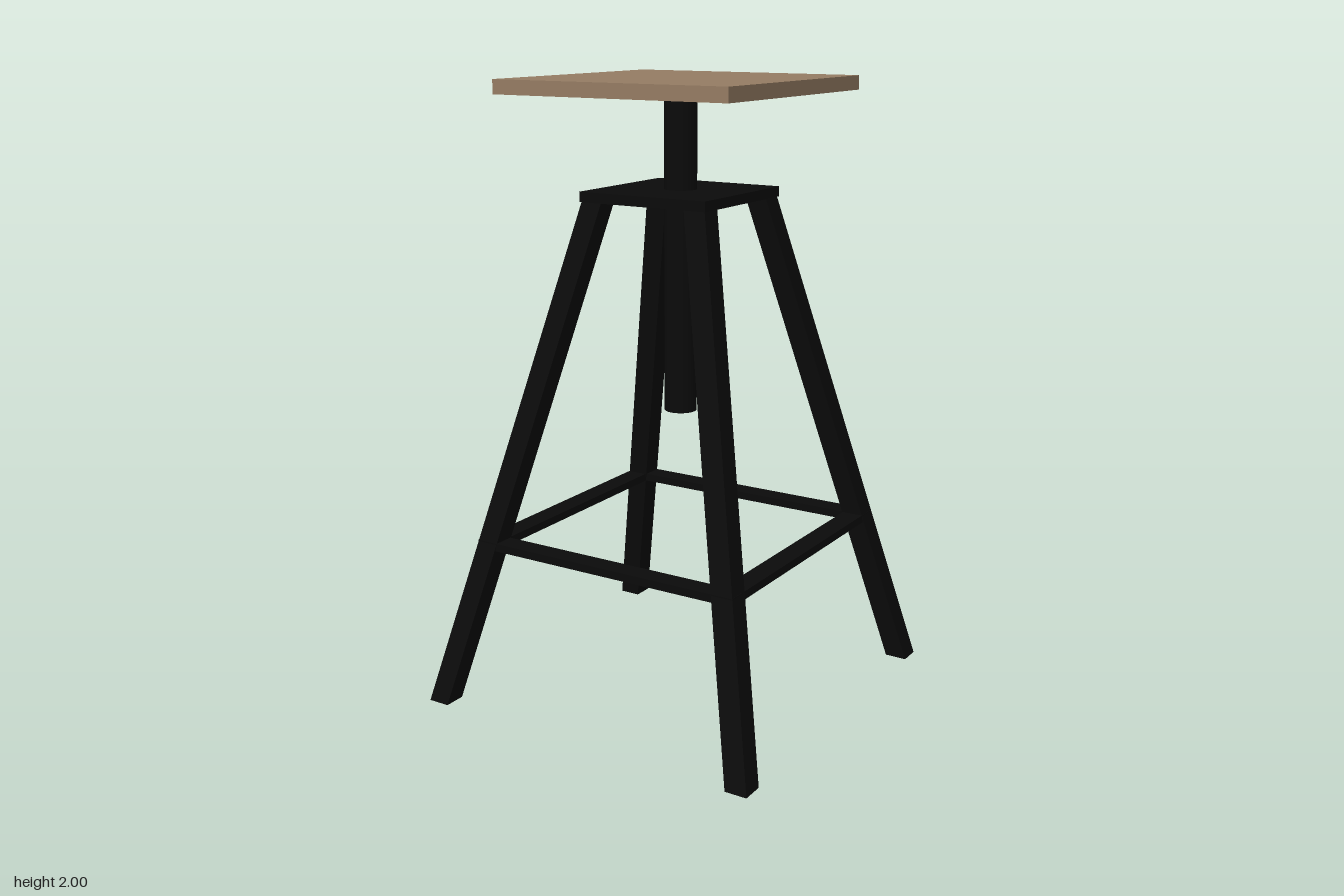
import * as THREE from 'three';

export function createModel() {
  const group = new THREE.Group();
  const wood = new THREE.MeshStandardMaterial({ color: 0x967d64 });
  const metal = new THREE.MeshStandardMaterial({ color: 0x0b0b0b });

  const add = (name, geometry, material, x, y, z) => {
    const mesh = new THREE.Mesh(geometry, material);
    mesh.name = name;
    mesh.position.set(x, y, z);
    group.add(mesh);
    return mesh;
  };

  // Square seat, height-adjusting post and top plate
  add('seat', new THREE.BoxGeometry(0.82, 0.045, 0.82), wood, 0, 1.9775, 0);
  add('post', new THREE.CylinderGeometry(0.052, 0.052, 1.016, 32), metal, 0, 1.448, 0);
  add('topPlate', new THREE.BoxGeometry(0.455, 0.032, 0.455), metal, 0, 1.64, 0);

  // Splayed legs: square bars sheared outwards, with level ends
  const legHeight = 1.63, legWidth = 0.073;
  const footCentre = 0.561, topCentre = 0.185;
  for (const sx of [-1, 1]) {
    for (const sz of [-1, 1]) {
      const geometry = new THREE.BoxGeometry(legWidth, legHeight, legWidth);
      geometry.translate(0, legHeight / 2, 0);
      const p = geometry.attributes.position;
      for (let i = 0; i < p.count; i++) {
        const c = THREE.MathUtils.lerp(footCentre, topCentre, p.getY(i) / legHeight);
        p.setX(i, p.getX(i) + sx * c);
        p.setZ(i, p.getZ(i) + sz * c);
      }
      geometry.computeVertexNormals();
      const side = sx > 0 ? 'Left' : 'Right';
      add((sz > 0 ? 'front' : 'back') + side + 'Leg', geometry, metal, 0, 0, 0);
    }
  }

  // Footrest: flat bars joining the legs in a square
  const outer = 0.473, barWidth = 0.07, barHeight = 0.026;
  for (const s of [-1, 1]) {
    const c = s * (outer - barWidth / 2);
    add(s > 0 ? 'frontFootrest' : 'backFootrest',
      new THREE.BoxGeometry(outer * 2, barHeight, barWidth), metal, 0, 0.531, c);
    add(s > 0 ? 'leftFootrest' : 'rightFootrest',
      new THREE.BoxGeometry(barWidth, barHeight, (outer - barWidth) * 2), metal, c, 0.531, 0);
  }

  return group;
}
